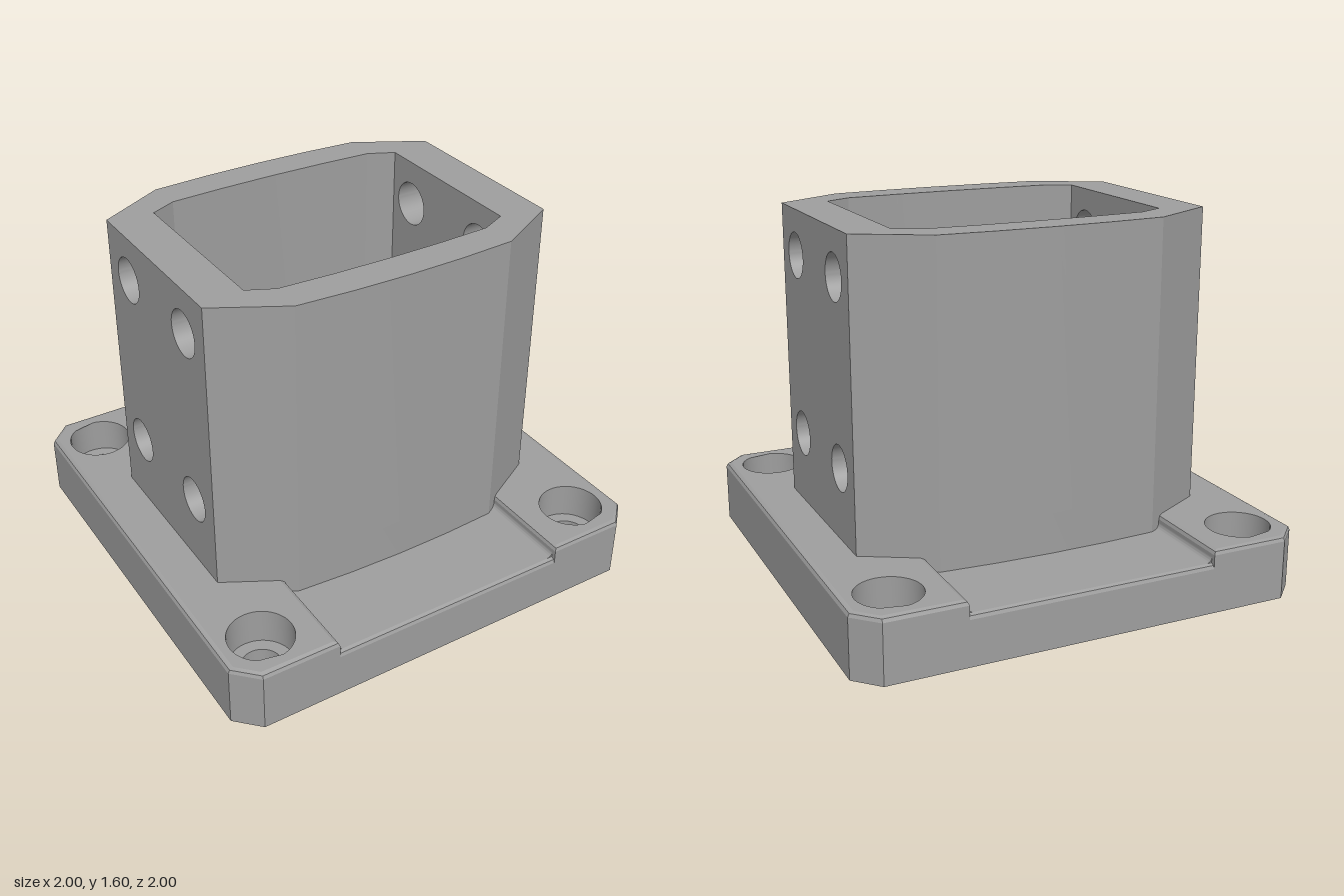
import * as THREE from 'three';
import { toCreasedNormals } from 'three/addons/utils/BufferGeometryUtils.js';

const FILLET = 0.02;

// Quarter profile mirrored into a closed, four-way symmetric outline
function mirrored(quarter) {
  const v = quarter.map(([x, y]) => new THREE.Vector2(x, y));
  const flip = (list, sx, sy) => list.map(p => new THREE.Vector2(p.x * sx, p.y * sy));
  const rev = [...v].reverse();
  // the last quarter point lies on x = 0, so skip its duplicate
  return [...v, ...flip(rev.slice(1), -1, 1), ...flip(v, -1, -1), ...flip(rev.slice(1), 1, -1)];
}

const poly = pts => pts.map(([x, y]) => new THREE.Vector2(x, y));
const circle = (x, y, r) => new THREE.Path().absarc(x, y, r, 0, Math.PI * 2, false);
const pathOf = pts => new THREE.Path(pts);

// Vertical prism from y0 to y1; with inset(p, d) its top edge is rounded
function prism(outline, holes, y0, y1, inset) {
  const shape = new THREE.Shape(outline);
  shape.holes.push(...holes);
  const steps = inset ? 3 : 1;
  const g = new THREE.ExtrudeGeometry(shape, { depth: y1 - y0, steps, bevelEnabled: false, curveSegments: 32 });
  g.rotateX(-Math.PI / 2);
  const pos = g.attributes.position, p = new THREE.Vector3();
  for (let i = 0; i < pos.count; i++) {
    p.fromBufferAttribute(pos, i);
    const k = Math.round(p.y / (y1 - y0) * steps);
    if (inset && k > 0) {
      const a = (k - 1) * Math.PI / 4;
      p.y = y1 - y0 - FILLET * (1 - Math.sin(a));
      inset(p, FILLET * (1 - Math.cos(a)));
    }
    pos.setXYZ(i, p.x, p.y + y0, p.z);
  }
  return toCreasedNormals(g, 0.3);
}

export function createModel() {
  const model = new THREE.Group();
  model.name = 'flangedSocket';
  const metal = new THREE.MeshStandardMaterial({ color: 0x9e9e9e });
  metal.name = 'grey metal';
  const add = (name, geometry, x = 0, y = 0, z = 0) => {
    const m = new THREE.Mesh(geometry, metal);
    m.name = name;
    m.position.set(x, y, z);
    model.add(m);
    return m;
  };

  const plate = poly([[1, -0.9], [1, 0.9], [0.9, 1], [-0.9, 1], [-1, 0.9], [-1, -0.9], [-0.9, -1], [0.9, -1]]);
  const outer = mirrored([[0.8, 0.43], [0.5, 0.595], [0.25, 0.61], [0, 0.615]]);
  const opening = mirrored([[0.505, 0.33], [0.46, 0.345], [0.25, 0.356], [0, 0.36]]);
  const bolts = r => [[1, 1], [-1, 1], [-1, -1], [1, -1]].map(([x, y]) => circle(0.8 * x, 0.8 * y, r));

  // Bottom rim: square recess with round pads around the bolt holes
  const recess = new THREE.Path();
  for (let k = 0; k < 4; k++) {
    const a = k * Math.PI / 2, c = 0.8 * Math.SQRT2;
    recess.absarc(c * Math.cos(a + Math.PI / 4), c * Math.sin(a + Math.PI / 4), 0.2,
      a + Math.PI * 5 / 3, a + Math.PI * 5 / 6, true);
  }
  recess.closePath();
  add('bottomRim', prism(plate, [recess, ...bolts(0.087)], 0, 0.05));

  // Plate web with through holes
  add('plateWeb', prism(plate, [pathOf(opening), ...bolts(0.087)], 0.05, 0.12));

  // Lower centre band, rounded at front and back
  const band = poly([[0.55, -1], [0.55, 1], [-0.55, 1], [-0.55, -1]]);
  add('centreBand', prism(band, [pathOf(opening)], 0.12, 0.22, (p, d) => {
    p.z = THREE.MathUtils.clamp(p.z, d - 1, 1 - d);
  }));

  // Raised side lands with counterbores, and fillets at the foot of each step
  for (const s of [1, -1]) {
    const land = poly([[0.55, -1], [0.9, -1], [1, -0.9], [1, 0.9], [0.9, 1], [0.55, 1]].map(([x, y]) => [s * x, y]));
    const bores = [circle(s * 0.8, 0.8, 0.14), circle(s * 0.8, -0.8, 0.14)];
    add(s > 0 ? 'leftLand' : 'rightLand', prism(land, bores, 0.12, 0.28, (p, d) => {
      let x = THREE.MathUtils.clamp(Math.abs(p.x), 0.55 + d, 1 - d);
      let z = THREE.MathUtils.clamp(Math.abs(p.z), 0, 1 - d);
      const over = x + z - (1.9 - d * Math.SQRT2);
      if (over > 0) { x -= over / 2; z -= over / 2; }
      p.x = s * x;
      p.z = Math.sign(p.z) * z;
    }));

    const f = new THREE.Shape();
    f.moveTo(s * 0.55, 0.22).lineTo(s * 0.55, 0.245);
    f.absarc(s * 0.525, 0.245, 0.025, s > 0 ? 0 : Math.PI, s > 0 ? -Math.PI / 2 : Math.PI * 1.5, s > 0);
    f.closePath();
    const strip = new THREE.ExtrudeGeometry(f, { depth: 1.96, bevelEnabled: false, curveSegments: 6 });
    add('stepFillet', toCreasedNormals(strip, 0.3), 0, 0, -0.98);
  }

  // Tower foot with the narrower opening; its top is the inner ledge
  add('towerFoot', prism(outer, [pathOf(opening)], 0.22, 0.4));

  // Curved front and back tower walls
  const half = [[0.605, 0.39], [0.8, 0.39], [0.8, 0.43], [0.5, 0.595], [0.25, 0.61], [0, 0.615],
    [-0.25, 0.61], [-0.5, 0.595], [-0.8, 0.43], [-0.8, 0.39], [-0.605, 0.39], [-0.49, 0.445],
    [-0.25, 0.456], [0, 0.46], [0.25, 0.456], [0.49, 0.445]];
  add('backWall', prism(poly(half), [], 0.4, 1.6));
  add('frontWall', prism(poly(half.map(([x, y]) => [x, -y])), [], 0.4, 1.6));

  // Flat side walls, each with four cross holes
  const side = new THREE.Shape(poly([[-0.39, 0.4], [0.39, 0.4], [0.39, 1.6], [-0.39, 1.6]]));
  for (const z of [-0.25, 0.25]) for (const y of [0.6, 1.4]) side.holes.push(circle(z, y, 0.1));
  const wall = toCreasedNormals(
    new THREE.ExtrudeGeometry(side, { depth: 0.195, bevelEnabled: false, curveSegments: 32 }).rotateY(Math.PI / 2), 0.3);
  add('leftWall', wall, 0.605);
  add('rightWall', wall, -0.8);

  return model;
}
